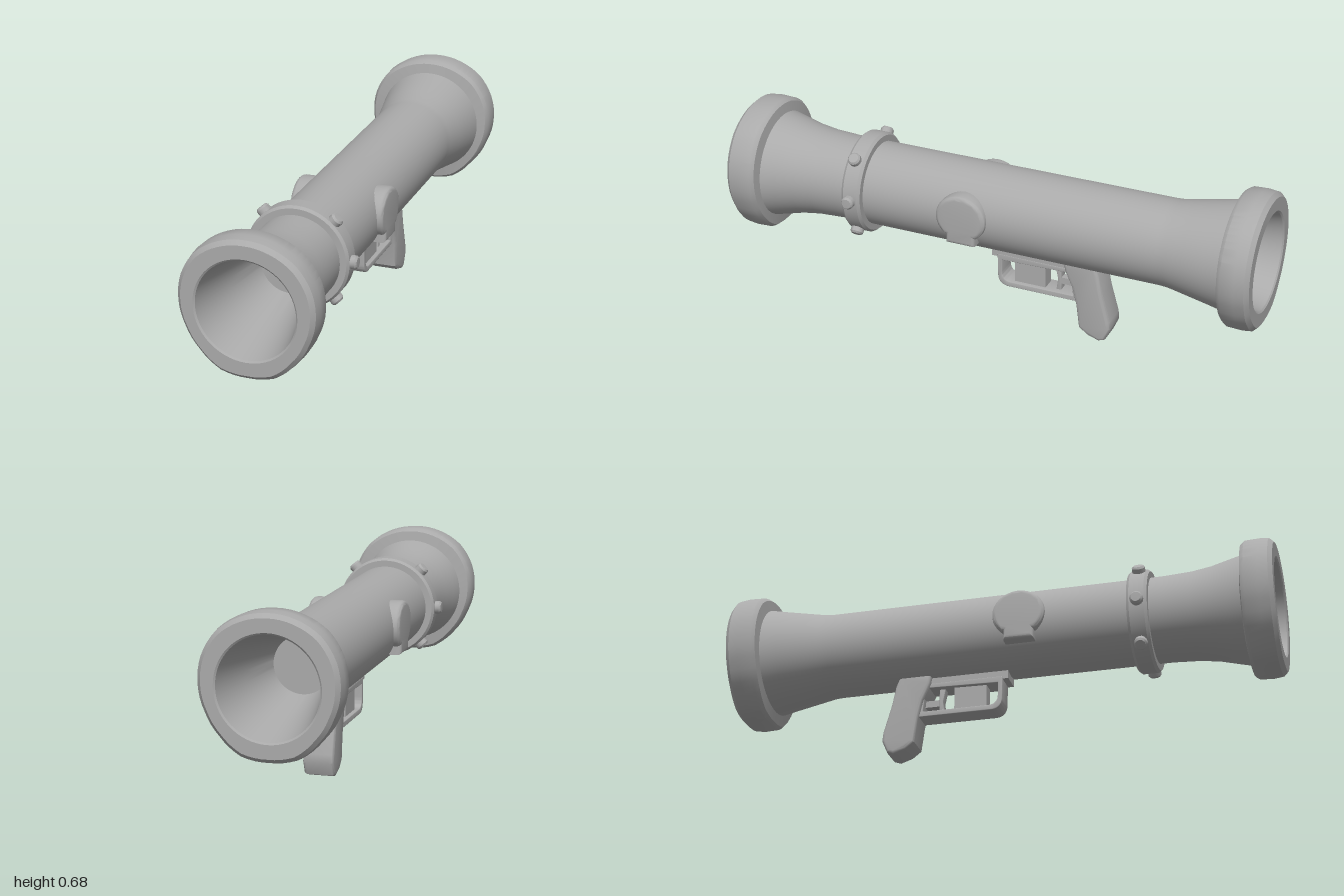
import * as THREE from 'three';
import { toCreasedNormals } from 'three/addons/utils/BufferGeometryUtils.js';

const AXIS_Y = 0.435;

export function createModel() {
  const model = new THREE.Group();
  model.name = 'launcher';
  const metal = new THREE.MeshStandardMaterial({ color: 0xaaaaaa });
  metal.name = 'grey metal';

  const add = (name, geometry, x = 0, y = 0, z = 0) => {
    const mesh = new THREE.Mesh(toCreasedNormals(geometry, 0.6), metal);
    mesh.name = name;
    mesh.position.set(x, y, z);
    model.add(mesh);
    return mesh;
  };

  // Lathe along z; points are [radius, z] from rear to front
  const turned = (points) => new THREE.LatheGeometry(
    points.map(([r, z]) => new THREE.Vector2(r, z)), 64).rotateX(Math.PI / 2);

  // Side-view shape, in (z, y), extruded across x and centred on x = 0
  const sideways = (shape, width, bevel) => {
    const g = new THREE.ExtrudeGeometry(shape, {
      depth: width - 2 * bevel, bevelEnabled: bevel > 0, bevelSize: bevel,
      bevelThickness: bevel, bevelOffset: -bevel, bevelSegments: 3, curveSegments: 12,
    });
    return g.translate(0, 0, -width / 2 + bevel).rotateY(-Math.PI / 2);
  };
  const polygon = (pts) => new THREE.Shape(pts.map(([z, y]) => new THREE.Vector2(z, y)));

  // Hand-shaped rim outline: radius every 22.5 degrees, bottom to top
  const rimRadii = [0.246, 0.25, 0.238, 0.235, 0.24, 0.247, 0.251, 0.247, 0.245];
  const rimRadius = (x, y) => {
    const t = (Math.atan2(y, Math.abs(x)) / Math.PI + 0.5) * 8;
    const i = Math.min(7, Math.max(0, Math.floor(t)));
    return THREE.MathUtils.lerp(rimRadii[i], rimRadii[i + 1], t - i);
  };

  // Tube with flared ends, heavy rims and tapering blind bores
  const body = turned([
    [0, -0.62], [0.1, -0.62], [0.135, -0.8], [0.174, -0.995], [0.18, -1],
    [0.222, -1], [0.236, -0.985], [0.24, -0.95], [0.238, -0.9], [0.228, -0.886], [0.197, -0.88],
    [0.185, -0.82], [0.17, -0.74], [0.157, -0.67], [0.155, -0.64],
    [0.155, 0.6], [0.16, 0.7], [0.17, 0.77], [0.185, 0.83], [0.197, 0.88],
    [0.228, 0.886], [0.238, 0.9], [0.24, 0.95], [0.236, 0.985], [0.222, 1],
    [0.18, 1], [0.174, 0.995], [0.135, 0.8], [0.1, 0.62], [0, 0.62],
  ]);
  const p = body.attributes.position;
  for (let i = 0; i < p.count; i++) {
    const x = p.getX(i), y = p.getY(i);
    if (Math.hypot(x, y) < 0.21) continue;
    const s = rimRadius(x, y) / 0.24;
    p.setXY(i, x * s, y * s);
  }
  add('tube', body, 0, AXIS_Y);

  // Clamp ring and its bolts
  add('clampRing', turned([
    [0.14, 0.478], [0.178, 0.478], [0.186, 0.488], [0.186, 0.542], [0.178, 0.552], [0.14, 0.552],
  ]), 0, AXIS_Y);
  for (const degrees of [0, 48, 132, 180, 228, 312]) {
    const a = THREE.MathUtils.degToRad(degrees), r = 0.188;
    const bolt = new THREE.LatheGeometry([[0.024, -0.02], [0.024, 0.013], [0.018, 0.02], [0, 0.021]]
      .map(([x, y]) => new THREE.Vector2(x, y)), 14);
    const mesh = add('clampBolt', bolt, Math.cos(a) * r, AXIS_Y + Math.sin(a) * r, 0.518);
    mesh.rotation.z = a - Math.PI / 2;
  }

  // Round side pads with a squared foot
  const pad = new THREE.Shape();
  pad.moveTo(0.03, 0.345);
  pad.lineTo(0.14, 0.345);
  pad.lineTo(0.14, 0.378);
  pad.absellipse(0.085, 0.447, 0.096, 0.088, -0.9, Math.PI + 0.9, false);
  pad.lineTo(0.03, 0.378);
  for (const side of [-1, 1]) {
    add(side > 0 ? 'leftPad' : 'rightPad', sideways(pad, 0.08, 0.014), side * 0.134);
  }

  // Rail below the tube
  add('rail', new THREE.BoxGeometry(0.08, 0.045, 0.29), 0, 0.277, -0.128);

  // Trigger guard with its opening
  const guard = new THREE.Shape();
  guard.moveTo(-0.004, 0.265);
  guard.lineTo(-0.006, 0.18);
  guard.quadraticCurveTo(-0.008, 0.138, -0.05, 0.138);
  guard.lineTo(-0.32, 0.138);
  guard.lineTo(-0.3, 0.265);
  const opening = new THREE.Path();
  opening.moveTo(-0.022, 0.242);
  opening.lineTo(-0.29, 0.248);
  opening.lineTo(-0.3, 0.158);
  opening.lineTo(-0.055, 0.158);
  opening.quadraticCurveTo(-0.022, 0.16, -0.022, 0.195);
  guard.holes.push(opening);
  add('triggerGuard', sideways(guard, 0.082, 0.003));

  // Trigger housing, trigger and link bar
  add('triggerHousing', new THREE.BoxGeometry(0.05, 0.1, 0.12), 0, 0.204, -0.127);
  add('trigger', sideways(polygon([
    [-0.22, 0.255], [-0.245, 0.255], [-0.245, 0.15], [-0.225, 0.15], [-0.232, 0.2],
  ]), 0.035, 0.003));
  add('triggerLink', new THREE.BoxGeometry(0.03, 0.025, 0.08), 0, 0.195, -0.275);

  // Raked pistol grip
  add('grip', sideways(polygon([
    [-0.265, 0.3], [-0.27, 0.262], [-0.298, 0.2], [-0.316, 0.13], [-0.328, 0.04], [-0.36, 0.015],
    [-0.405, 0.0], [-0.428, 0.008], [-0.448, 0.055], [-0.445, 0.085],
    [-0.415, 0.19], [-0.4, 0.262], [-0.385, 0.3],
  ]), 0.11, 0.012));

  return model;
}
